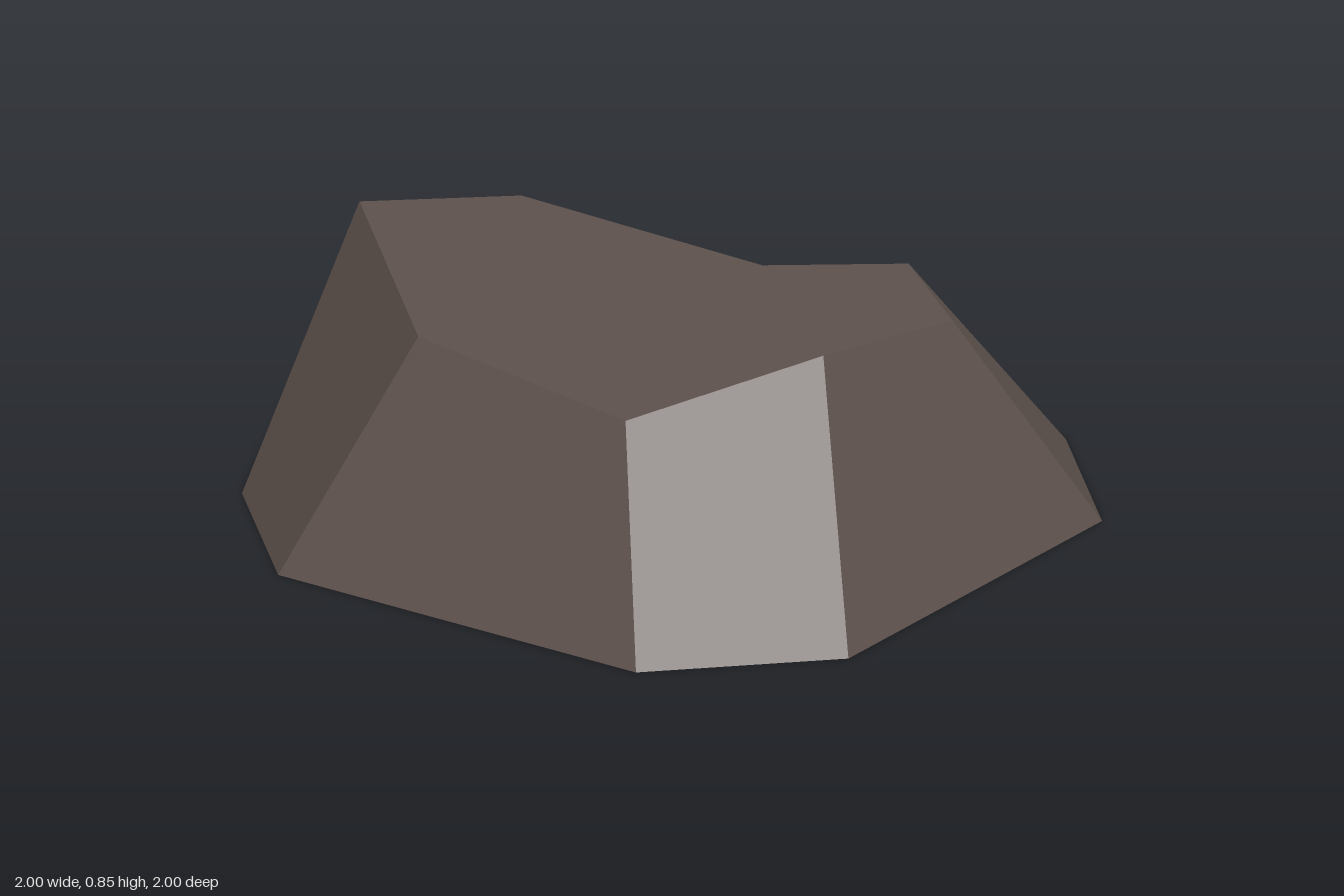
import * as THREE from 'three';

// Rim corners of the cut top, clockwise from above, starting at the back
const RIM = [
  [-0.35, 0.385, -0.687], [0.27, 0.53, -0.72], [0.67, 0.583, -0.36], [0.733, 0.73, 0.33],
  [0.35, 0.577, 0.71], [-0.31, 0.675, 0.743], [-0.74, 0.852, 0.41], [-0.73, 0.62, -0.33],
].map((p) => new THREE.Vector3(...p));

// Octagonal footprint with corners matching the rim
const FOOT = [
  [-0.59, -1], [0.59, -1], [1, -0.59], [1, 0.59],
  [0.59, 1], [-0.59, 1], [-1, 0.59], [-1, -0.59],
].map(([x, z]) => new THREE.Vector3(x, 0, z));

// Builds faces as triangle fans; each face shares one average normal so it shades flat
function facesGeometry(faces) {
  const positions = [];
  const normals = [];
  for (const face of faces) {
    const normal = new THREE.Vector3();
    face.forEach((p, i) => normal.add(p.clone().cross(face[(i + 1) % face.length])));
    normal.normalize();
    for (let i = 1; i < face.length - 1; i++) {
      for (const p of [face[0], face[i], face[i + 1]]) {
        positions.push(p.x, p.y, p.z);
        normals.push(normal.x, normal.y, normal.z);
      }
    }
  }
  const geometry = new THREE.BufferGeometry();
  geometry.setAttribute('position', new THREE.Float32BufferAttribute(positions, 3));
  geometry.setAttribute('normal', new THREE.Float32BufferAttribute(normals, 3));
  return geometry;
}

export function createModel() {
  const group = new THREE.Group();
  group.name = 'rock';
  const stone = new THREE.MeshStandardMaterial({ color: 0x5e524d });
  stone.name = 'brown stone';

  const addPart = (name, faces) => {
    const mesh = new THREE.Mesh(facesGeometry(faces), stone);
    mesh.name = name;
    group.add(mesh);
  };

  // Sloping sides, each folded from its foot corner to the next rim corner
  addPart('sides', FOOT.map((foot, i) => {
    const next = (i + 1) % FOOT.length;
    return [foot, RIM[i], RIM[next], FOOT[next]];
  }));

  // Uneven top, fanned from the back left corner
  addPart('top', [RIM.map((_, i) => RIM[(10 - i) % 8])]);

  // Flat underside
  addPart('underside', [FOOT]);

  return group;
}
